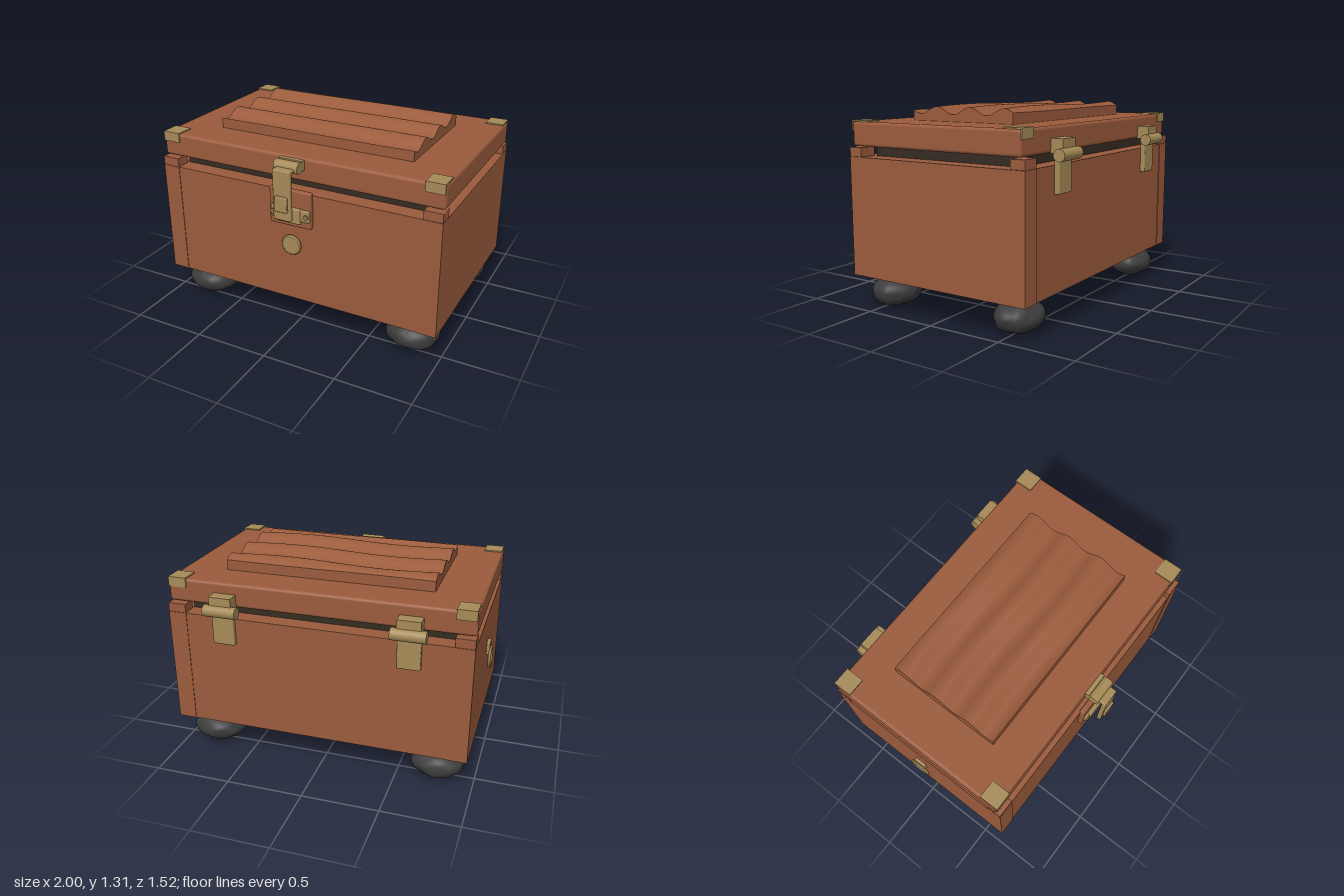
import * as THREE from 'three';
import { mergeVertices } from 'three/addons/utils/BufferGeometryUtils.js';
import { RoundedBoxGeometry } from 'three/addons/geometries/RoundedBoxGeometry.js';

const material = (name, color) => {
  const m = new THREE.MeshStandardMaterial({ color });
  m.name = name;
  return m;
};

export function createModel() {
  const leather = material('leather', 0x9a5b3c);
  const brass = material('brass', 0xa58a57);
  const agedBrass = material('agedBrass', 0x8a7245);
  const lining = material('lining', 0x352c22);
  const stone = material('stone', 0x3b3b3c);

  const root = new THREE.Group();
  root.name = 'chest';

  const add = (parent, name, geometry, mat) => {
    const mesh = new THREE.Mesh(geometry, mat);
    mesh.name = name;
    parent.add(mesh);
    return mesh;
  };
  // Box given by its limits on each axis; r rounds the edges
  const box = (parent, name, mat, [x0, x1], [y0, y1], [z0, z1], r = 0) => {
    const s = [x1 - x0, y1 - y0, z1 - z0];
    const g = r ? new RoundedBoxGeometry(...s, 3, r) : new THREE.BoxGeometry(...s);
    const mesh = add(parent, name, g, mat);
    mesh.position.set((x0 + x1) / 2, (y0 + y1) / 2, (z0 + z1) / 2);
    return mesh;
  };
  const rod = (parent, name, mat, radius, length, axis, x, y, z) => {
    const mesh = add(parent, name, new THREE.CylinderGeometry(radius, radius, length, 32), mat);
    if (axis === 'x') mesh.rotation.z = Math.PI / 2;
    if (axis === 'z') mesh.rotation.x = Math.PI / 2;
    mesh.position.set(x, y, z);
    return mesh;
  };
  const group = (name) => {
    const g = new THREE.Group();
    g.name = name;
    root.add(g);
    return g;
  };

  // Body: side panels, front and back panels, base and dark inner lining
  const body = group('body');
  const sides = [[-0.965, -0.845], [0.875, 0.995]];
  for (const xs of sides) {
    box(body, 'sidePanel', leather, xs, [0.224, 0.99], [-0.677, 0.632]);
    for (const zs of [[0.535, 0.632], [-0.677, -0.58]])
      box(body, 'cornerCap', leather, xs, [0.99, 1.05], zs, 0.004);
  }
  box(body, 'middlePanels', leather, [-0.845, 0.875], [0.224, 0.99], [-0.673, 0.628]);
  box(body, 'lining', lining, [-0.845, 0.875], [0.98, 1.048], [-0.563, 0.518]);
  box(body, 'basePlate', leather, [-0.885, 0.915], [0.19, 0.235], [-0.58, 0.535], 0.012);

  // Lid with thin brass corner brackets
  const lid = group('lid');
  box(lid, 'lidPanel', leather, [-0.965, 0.995], [1.057, 1.211], [-0.648, 0.604], 0.02);
  for (const xs of [[-0.96, -0.84], [0.87, 0.99]]) {
    box(lid, 'bracketTop', brass, xs, [1.21, 1.219], [0.485, 0.611]);
    box(lid, 'bracketFront', brass, xs, [1.155, 1.219], [0.602, 0.611]);
    box(lid, 'bracketTop', brass, xs, [1.21, 1.219], [-0.655, -0.53]);
    box(lid, 'bracketBack', brass, xs, [1.155, 1.219], [-0.655, -0.646]);
  }

  // Rippled slab: top vertices of a box follow a drifting wave
  const ripple = new THREE.BoxGeometry(1.37, 0.09, 0.76, 40, 1, 72);
  ripple.translate(0.015, 1.245, -0.025);
  const p = ripple.attributes.position;
  for (let i = 0; i < p.count; i++) {
    if (p.getY(i) < 1.25) continue;
    const drift = Math.sin(5 * p.getX(i));
    const phase = (p.getZ(i) - 0.17 - 0.012 * drift) * Math.PI * 2 / 0.253;
    p.setY(i, 1.281 + 0.023 * Math.cos(phase) + 0.005 * drift);
  }
  ripple.computeVertexNormals();
  add(lid, 'rippledSlab', ripple, leather);

  // Stone feet: ellipsoids with shallow lumps
  [[-0.757, 0.455], [0.785, 0.455], [-0.757, -0.503], [0.785, -0.503]].forEach(([x, z], k) => {
    let g = new THREE.IcosahedronGeometry(1, 7);
    g.deleteAttribute('normal');
    g.deleteAttribute('uv');
    g = mergeVertices(g, 1e-3);
    const a = g.attributes.position;
    const v = new THREE.Vector3();
    for (let i = 0; i < a.count; i++) {
      v.fromBufferAttribute(a, i);
      const lump = Math.sin(5 * v.x + k) * Math.sin(6 * v.y + 2 * k) + Math.sin(7 * v.z + 3 * v.x + k)
        + 0.7 * Math.sin(13 * v.x + 9 * v.y + k) * Math.sin(12 * v.z - 5 * v.y);
      v.multiplyScalar(0.98 + 0.022 * lump);
      a.setXYZ(i, v.x * 0.178, v.y * 0.104, v.z * 0.15);
    }
    g.computeVertexNormals();
    g.computeBoundingBox();
    g.translate(0, -g.boundingBox.min.y, 0);
    add(root, 'stoneFoot', g, stone).position.set(x, 0, z);
  });

  // Front latch
  const latch = group('latch');
  box(latch, 'backing', leather, [-0.13, 0.163], [0.765, 1.01], [0.62, 0.658], 0.012);
  box(latch, 'catchPlate', brass, [-0.112, 0.158], [0.818, 0.895], [0.65, 0.676], 0.008);
  box(latch, 'catchBlock', brass, [-0.075, 0.1], [0.8, 0.9], [0.655, 0.687], 0.008);
  for (const x of [-0.092, 0.138]) rod(latch, 'rivet', agedBrass, 0.017, 0.014, 'z', x, 0.856, 0.677);
  box(latch, 'hingePlate', brass, [-0.07, 0.095], [1.135, 1.2], [0.6, 0.63]);
  rod(latch, 'latchBarrel', brass, 0.037, 0.165, 'x', 0.0125, 1.165, 0.66);
  box(latch, 'strapArm', brass, [-0.05, 0.072], [1.143, 1.168], [0.66, 0.743], 0.008);
  box(latch, 'strap', brass, [-0.05, 0.072], [0.838, 1.166], [0.715, 0.745], 0.008);
  box(latch, 'strapPad', brass, [-0.03, 0.055], [0.9, 1.0], [0.74, 0.762], 0.006);

  // Round lock below the latch
  const lock = group('lock');
  rod(lock, 'lockFace', brass, 0.056, 0.03, 'z', 0.013, 0.626, 0.638);
  add(lock, 'lockRim', new THREE.TorusGeometry(0.058, 0.011, 12, 40), agedBrass).position.set(0.013, 0.626, 0.643);

  // Pair of back hinges
  for (const x of [-0.583, 0.607]) {
    const hinge = group('hinge');
    const leaf = [x - 0.073, x + 0.073];
    rod(hinge, 'hingeBarrel', brass, 0.038, 0.216, 'x', x, 1.05, -0.722);
    box(hinge, 'upperLeaf', brass, leaf, [1.055, 1.142], [-0.728, -0.645]);
    box(hinge, 'lowerLeaf', brass, leaf, [0.82, 1.05], [-0.706, -0.67], 0.008);
  }

  // Hanging ring on one side
  const pull = group('sidePull');
  box(pull, 'ringMount', brass, [-0.986, -0.96], [0.68, 0.768], [-0.07, 0.012], 0.008);
  const ring = add(pull, 'ring', new THREE.TorusGeometry(0.065, 0.01, 12, 40), agedBrass);
  ring.rotation.y = Math.PI / 2;
  ring.position.set(-0.99, 0.652, -0.03);

  return root;
}
